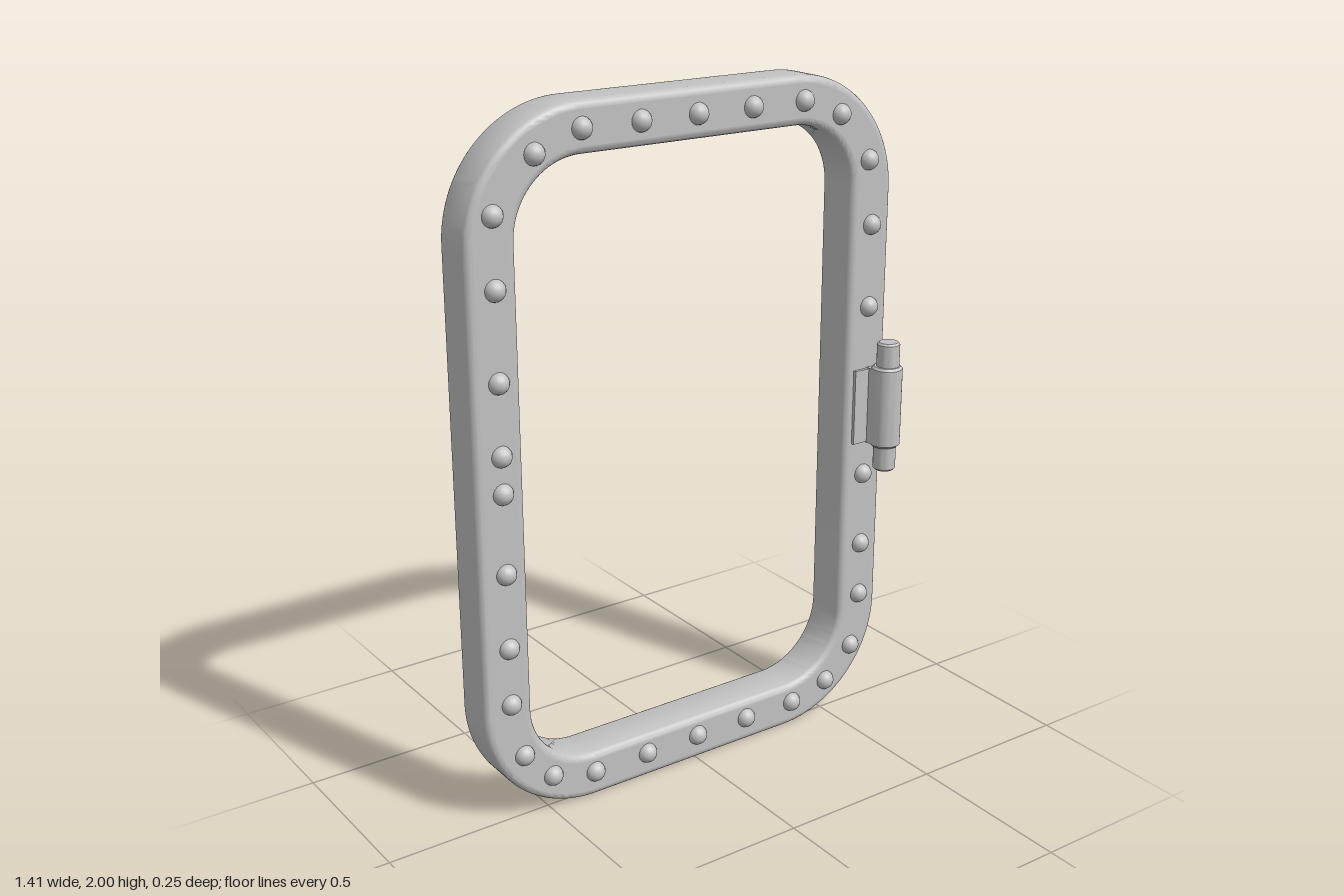
import * as THREE from 'three';
import { toCreasedNormals } from 'three/addons/utils/BufferGeometryUtils.js';

const CX = -0.01, CY = 1, FRONT = 0.035, BACK = -0.105;

// Rounded rectangle outline, drawn on a Shape or Path
function roundedRect(path, hw, hh, r) {
  const corners = [[1, 1, 0], [-1, 1, 0.5], [-1, -1, 1], [1, -1, 1.5]];
  path.moveTo(CX + hw, CY - hh + r);
  for (const [sx, sy, a] of corners) {
    path.absarc(CX + sx * (hw - r), CY + sy * (hh - r), r, a * Math.PI, (a + 0.5) * Math.PI, false);
  }
  path.closePath();
  return path;
}

// Frame ring with softened edges and flat front and back faces
function frameGeometry() {
  const bevel = 0.022;
  const shape = roundedRect(new THREE.Shape(), 0.695, 1, 0.35);
  shape.holes.push(roundedRect(new THREE.Path(), 0.548, 0.861, 0.2));
  const extruded = new THREE.ExtrudeGeometry(shape, {
    depth: FRONT - BACK - 2 * bevel, curveSegments: 20,
    bevelEnabled: true, bevelSize: bevel, bevelThickness: bevel, bevelOffset: -bevel, bevelSegments: 5,
  });
  extruded.translate(0, 0, BACK + bevel);
  const geo = toCreasedNormals(extruded, 0.6);
  const p = geo.attributes.position, n = geo.attributes.normal;
  for (let i = 0; i < p.count; i += 3) {
    for (const [z, nz] of [[FRONT, 1], [BACK, -1]]) {
      if ([0, 1, 2].every((k) => Math.abs(p.getZ(i + k) - z) < 1e-4)) {
        for (let k = 0; k < 3; k++) n.setXYZ(i + k, 0, 0, nz);
      }
    }
  }
  return geo;
}

// Rivet centres as [x, y]
function rivetPositions() {
  const list = [];
  for (const x of [-0.36, -0.18, 0, 0.18, 0.355]) list.push([x, 1.93], [x, 0.08]);
  for (const y of [1.74, 1.55, 1.305, 1.105, 1.0, 0.77, 0.55, 0.38]) list.push([-0.625, y]);
  for (const y of [1.55, 1.305, 0.78, 0.55, 0.38]) list.push([0.612, y]);
  list.push([-0.59, 0.21], [-0.5, 0.115], [-0.5, 1.88]);
  list.push([0.585, 0.21], [0.487, 0.115], [0.487, 1.88], [0.595, 1.74]);
  return list;
}

export function createModel() {
  const model = new THREE.Group();
  const metal = new THREE.MeshStandardMaterial({ color: 0xc2c2c2 });
  metal.name = 'grey metal';

  const add = (parent, name, geo, x = 0, y = 0, z = 0) => {
    const mesh = new THREE.Mesh(geo, metal);
    mesh.name = name;
    mesh.position.set(x, y, z);
    parent.add(mesh);
    return mesh;
  };

  add(model, 'frame', frameGeometry());

  // Rivets on both faces; one is left out behind the hinge
  const rivets = new THREE.Group();
  rivets.name = 'rivets';
  model.add(rivets);
  const ball = new THREE.SphereGeometry(0.03, 16, 12);
  for (const [x, y] of rivetPositions()) {
    add(rivets, 'frontRivet', ball, x, y, FRONT - 0.002);
    if (!(x > 0.6 && y === 1.305)) add(rivets, 'backRivet', ball, x, y, BACK + 0.007);
  }

  // Hinge: pin, barrel and the leaf that joins it to the frame
  const hinge = new THREE.Group();
  hinge.name = 'hinge';
  model.add(hinge);
  const lathe = (r, h, c) => toCreasedNormals(new THREE.LatheGeometry(
    [[0, -h / 2], [r - c, -h / 2], [r, -h / 2 + c], [r, h / 2 - c], [r - c, h / 2], [0, h / 2]]
      .map(([x, y]) => new THREE.Vector2(x, y)), 28), 0.5);
  add(hinge, 'pin', lathe(0.034, 0.4, 0.006), 0.658, 1, 0.08);
  add(hinge, 'barrel', lathe(0.046, 0.25, 0.007), 0.656, 1.002, 0.08);
  add(hinge, 'leaf', new THREE.BoxGeometry(0.118, 0.23, 0.022), 0.624, 1, 0.034);
  add(hinge, 'neck', new THREE.BoxGeometry(0.07, 0.235, 0.045), 0.65, 1, 0.052);
  add(hinge, 'leafEdge', lathe(0.02, 0.23, 0.004), 0.682, 1, 0.015);
  return model;
}
